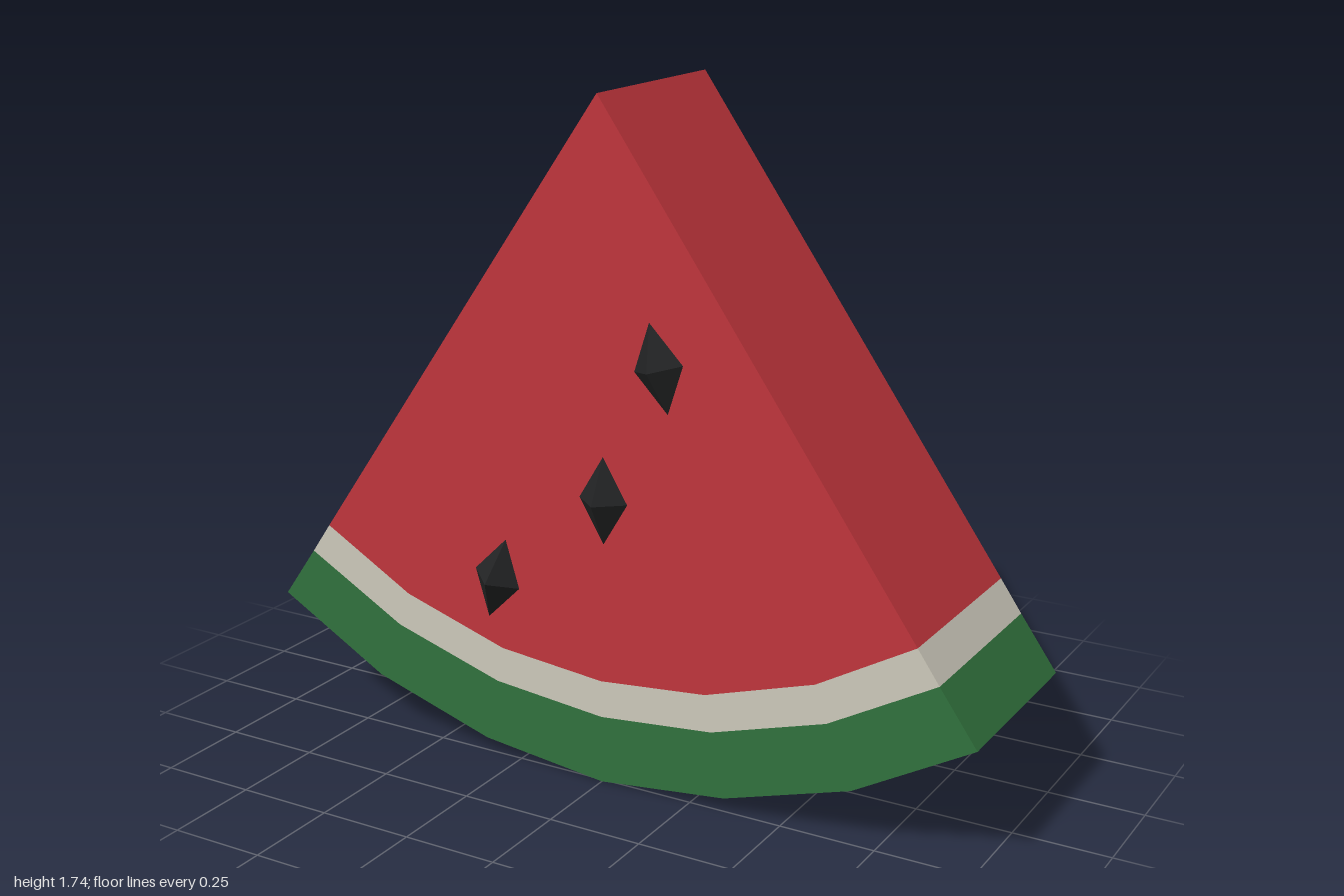
import * as THREE from 'three';

const DEPTH = 0.52;
const APEX = [0, 1.74];

// Right half of each arc, from the middle outwards
const RIND_OUTER = [[0, 0], [0.35, 0.04], [0.69, 0.145], [1, 0.32]];
const RIND_INNER = [[0, 0.178], [0.313, 0.208], [0.622, 0.302], [0.902, 0.458]];
const FLESH_EDGE = [[0, 0.275], [0.295, 0.303], [0.59, 0.395], [0.845, 0.54]];

// Mirror a half arc into a full one, running from -x to +x
function fullArc(half) {
  const left = half.slice(1).reverse().map(([x, y]) => [-x, y]);
  return [...left, ...half];
}

function slab(name, points, material) {
  const shape = new THREE.Shape(points.map(([x, y]) => new THREE.Vector2(x, y)));
  const geometry = new THREE.ExtrudeGeometry(shape, { depth: DEPTH, bevelEnabled: false });
  geometry.translate(0, 0, -DEPTH / 2);
  const mesh = new THREE.Mesh(geometry, material);
  mesh.name = name;
  return mesh;
}

export function createModel() {
  const red = new THREE.MeshStandardMaterial({ color: 0xc0353c });
  red.name = 'flesh red';
  const cream = new THREE.MeshStandardMaterial({ color: 0xcdc9bb });
  cream.name = 'pith cream';
  const green = new THREE.MeshStandardMaterial({ color: 0x31723d });
  green.name = 'rind green';
  const black = new THREE.MeshStandardMaterial({ color: 0x222324 });
  black.name = 'seed black';

  const model = new THREE.Group();
  model.name = 'watermelonSlice';

  // Flesh wedge, pith band and rind band
  const outer = fullArc(RIND_OUTER);
  const inner = fullArc(RIND_INNER);
  const edge = fullArc(FLESH_EDGE);
  model.add(slab('flesh', [...edge, APEX], red));
  model.add(slab('pith', [...inner, ...edge.slice().reverse()], cream));
  model.add(slab('rind', [...outer, ...inner.slice().reverse()], green));

  // Diamond seeds half sunk into each face: x, y, tilt
  const seedGeometry = new THREE.OctahedronGeometry(1).scale(0.068, 0.112, 0.057);
  const seeds = [[0.165, 1.105, 0.23], [0.01, 0.752, 0], [-0.307, 0.492, -0.25]];
  for (const side of ['front', 'back']) {
    const group = new THREE.Group();
    group.name = side + 'Seeds';
    for (const [x, y, tilt] of seeds) {
      const seed = new THREE.Mesh(seedGeometry, black);
      seed.name = 'seed';
      seed.position.set(x, y, DEPTH / 2);
      seed.rotation.z = tilt;
      group.add(seed);
    }
    if (side === 'back') group.rotation.y = Math.PI;
    model.add(group);
  }
  return model;
}
